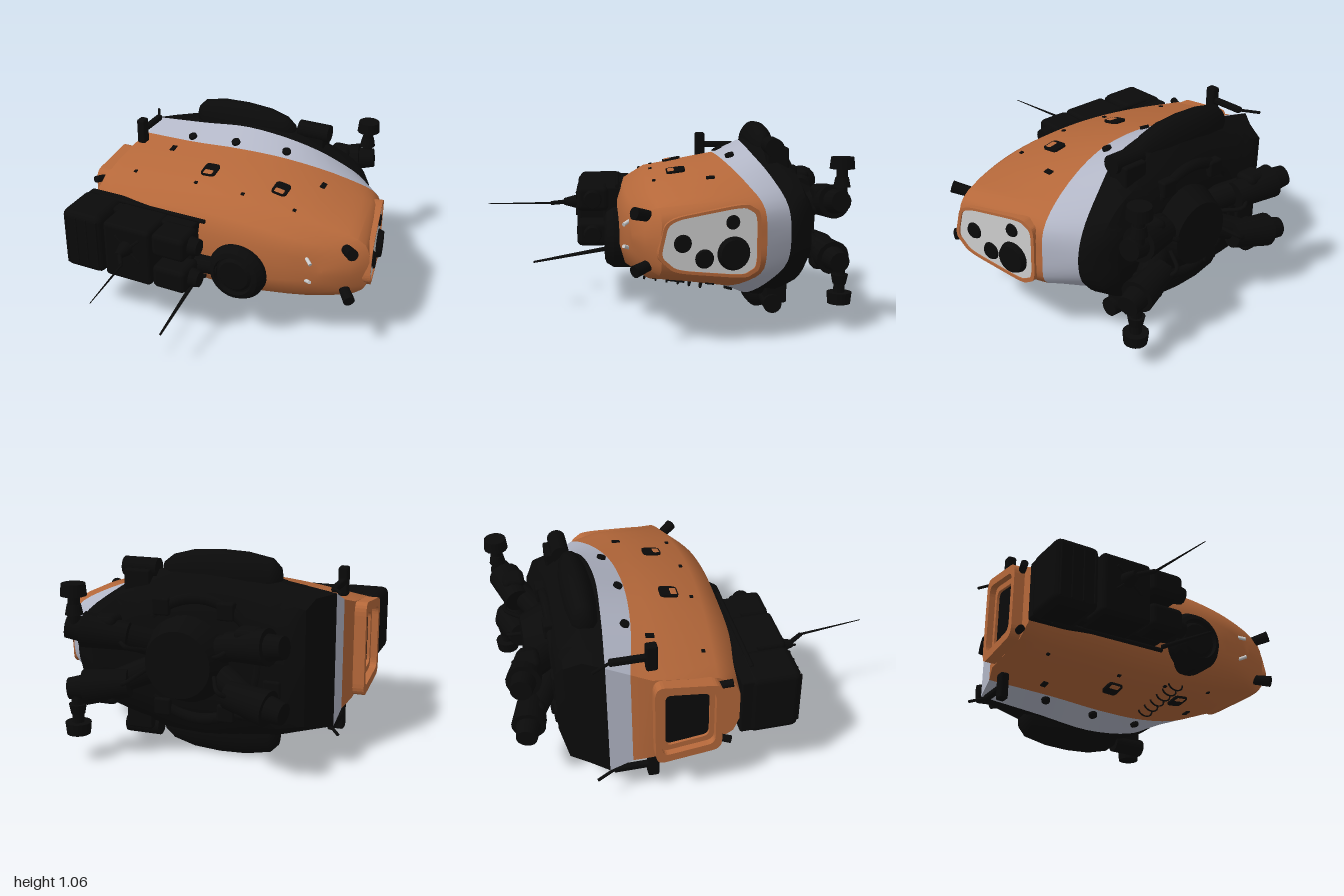
import * as THREE from 'three';
import { toCreasedNormals } from 'three/addons/utils/BufferGeometryUtils.js';
import { RoundedBoxGeometry } from 'three/addons/geometries/RoundedBoxGeometry.js';

const V = (x, y, z) => new THREE.Vector3(x, y, z);
const MID = 0.53; // height of the plane of symmetry
const paint = (color) => new THREE.MeshStandardMaterial({ color, side: THREE.DoubleSide });
const orange = paint(0xb5683a), pale = paint(0xb2b6c6), black = paint(0x0a0a0a), grey = paint(0xcccccc);

// Upper half outline: [x, height above MID, z] from the +x tip to the -x end
const band = [[0.6, 0, -0.65], [0.565, 0.14, -0.64], [0.4, 0.28, -0.57], [0.2, 0.385, -0.49], [-0.1, 0.43, -0.46], [-0.4, 0.39, -0.48], [-0.74, 0.34, -0.52]];
const seam = [[0.71, 0, -0.51], [0.69, 0.15, -0.5], [0.52, 0.255, -0.43], [0.2, 0.345, -0.34], [-0.1, 0.36, -0.31], [-0.4, 0.33, -0.33], [-0.75, 0.285, -0.4]];
const flat = (ring) => ring.map(([x, , z]) => [x, 0, z]);
const hullRings = [
  seam,
  [[0.752, 0, -0.35], [0.735, 0.17, -0.35], [0.55, 0.25, -0.29], [0.2, 0.33, -0.25], [-0.1, 0.345, -0.23], [-0.4, 0.315, -0.25], [-0.78, 0.255, -0.3]],
  [[0.83, 0, 0.02], [0.8, 0.14, 0.02], [0.58, 0.22, 0.06], [0.2, 0.275, 0.09], [-0.1, 0.28, 0.09], [-0.4, 0.26, 0.07], [-0.78, 0.21, 0.03]],
  [[0.75, 0, 0.1], [0.71, 0.11, 0.1], [0.48, 0.165, 0.17], [0.2, 0.205, 0.195], [-0.1, 0.21, 0.195], [-0.4, 0.19, 0.185], [-0.78, 0.155, 0.12]],
  [[0.62, 0, 0.16], [0.58, 0.05, 0.165], [0.42, 0.08, 0.205], [0.2, 0.1, 0.23], [-0.1, 0.1, 0.23], [-0.4, 0.09, 0.22], [-0.78, 0.08, 0.15]],
];
hullRings.push(flat(hullRings[4]));
const backRings = [
  [[0.46, 0, -0.78], [0.44, 0.12, -0.78], [0.3, 0.18, -0.77], [0.15, 0.2, -0.75], [-0.1, 0.21, -0.74], [-0.35, 0.2, -0.74], [-0.55, 0.17, -0.75]],
  [[0.55, 0, -0.73], [0.52, 0.15, -0.74], [0.4, 0.26, -0.72], [0.2, 0.33, -0.7], [-0.1, 0.36, -0.7], [-0.4, 0.34, -0.7], [-0.64, 0.29, -0.71]],
  [[0.59, 0, -0.68], [0.56, 0.15, -0.67], [0.4, 0.29, -0.63], [0.2, 0.4, -0.6], [-0.1, 0.46, -0.6], [-0.4, 0.41, -0.6], [-0.665, 0.33, -0.62]],
  band,
];
backRings.unshift(flat(backRings[0]));

// Skin over rings ordered from back to front; each ring is mirrored below MID
function loft(rings, seg = 48) {
  const pos = [], idx = [], n = seg + 1;
  for (const r of rings) {
    const top = r.map(([x, h, z]) => V(x, MID + h, z));
    const low = r.slice(1).reverse().map(([x, h, z]) => V(x, MID - h, z));
    new THREE.CatmullRomCurve3([...low, ...top]).getPoints(seg).forEach((p) => pos.push(p.x, p.y, p.z));
  }
  for (let i = 0; i < rings.length - 1; i++)
    for (let j = 0; j < n; j++) {
      const a = i * n + j, b = i * n + ((j + 1) % n);
      idx.push(a, b, a + n, b, b + n, a + n);
    }
  const g = new THREE.BufferGeometry();
  g.setAttribute('position', new THREE.Float32BufferAttribute(pos, 3));
  g.setIndex(idx);
  return toCreasedNormals(g, 0.75);
}

// Rounded polygon outline from corner points
function outline(pts, Type = THREE.Shape, k = 0.25) {
  const s = new Type(), n = pts.length;
  const mix = (a, b, t) => [a[0] + (b[0] - a[0]) * t, a[1] + (b[1] - a[1]) * t];
  pts.forEach((p, i) => {
    const a = mix(p, pts[(i + n - 1) % n], k), b = mix(p, pts[(i + 1) % n], k);
    i ? s.lineTo(...a) : s.moveTo(...a);
    s.quadraticCurveTo(...p, ...b);
  });
  s.closePath();
  return s;
}
const plate = (shape, depth) => new THREE.ExtrudeGeometry(shape, { depth, bevelEnabled: false, curveSegments: 6 });

export function createModel() {
  const root = new THREE.Group();
  const add = (name, geo, mat, pos = [0, 0, 0], parent = root) => {
    const m = new THREE.Mesh(geo, mat);
    m.name = name;
    m.position.set(...pos);
    parent.add(m);
    return m;
  };
  const box = (name, size, pos, r = 0.012) =>
    add(name, new RoundedBoxGeometry(...size, 2, Math.min(r, Math.min(...size) / 3)), black, pos);
  // Straight rod or cone between two points
  const rod = (name, a, b, r0, r1 = r0, mat = black, sides = 16) => {
    const p = V(...a), d = V(...b).sub(p);
    const m = add(name, new THREE.CylinderGeometry(r1, r0, d.length(), sides), mat);
    m.position.copy(p).addScaledVector(d, 0.5);
    m.quaternion.setFromUnitVectors(V(0, 1, 0), d.normalize());
    return m;
  };
  const flip = (y, s) => MID + s * (y - MID); // same height above or below the middle

  // Main shells
  const shells = [add('hull', loft(hullRings), orange), add('rearBand', loft([band, seam]), pale)];
  add('rearBody', loft(backRings), black);

  // Drops a small part on the shell above (s = 1) or below (s = -1), y along the normal, x kept level
  const ray = new THREE.Raycaster();
  const stick = (name, geo, mat, x, z, s) => {
    ray.set(V(x, MID + s * 2, z), V(0, -s, 0));
    const hit = ray.intersectObjects(shells)[0];
    if (!hit) return;
    const n = hit.face.normal, side = V(1, 0, 0).addScaledVector(n, -n.x).normalize();
    const m = add(name, geo, mat, hit.point.toArray());
    m.quaternion.setFromRotationMatrix(new THREE.Matrix4().makeBasis(side, n, side.clone().cross(n)));
  };
  const porthole = plate(outline([[-0.043, -0.05], [0.043, -0.05], [0.043, 0.05], [-0.043, 0.05]]), 0.012).rotateX(-Math.PI / 2);
  const hatch = new RoundedBoxGeometry(0.058, 0.03, 0.04, 2, 0.008);
  const tile = new THREE.BoxGeometry(0.028, 0.016, 0.045);
  const bolt = new THREE.BoxGeometry(0.018, 0.014, 0.018);
  const jet = new THREE.CylinderGeometry(0.024, 0.026, 0.03, 16);
  for (const s of [1, -1]) {
    for (const x of [-0.16, 0.27]) {
      stick('porthole', porthole, black, x, -0.08, s);
      stick('portholeCover', hatch, orange, x, -0.055, s);
    }
    for (const x of [-0.49, 0.45]) stick('tile', tile, black, x, -0.25, s);
    for (const [x, z] of [[-0.19, 0.04], [0.1, 0.05], [0.4, 0.04], [-0.6, 0]]) stick('bolt', bolt, black, x, z, s);
    for (const [x, z] of [[-0.42, -0.365], [-0.13, -0.345], [0.17, -0.38]]) stick('bandJet', jet, black, x, z, s);
  }
  for (let i = 0; i < 6; i++)
    stick('ladderRung', new THREE.TorusGeometry(0.045, 0.005, 6, 12, Math.PI).scale(1, 0.8, 1), black, 0.15, 0.08 - i * 0.062, -1);

  // Sensor panel on the +x end
  const end = new THREE.Group();
  end.name = 'sensorPanel';
  end.position.set(0.774, MID, -0.22);
  end.rotation.y = 1.78;
  root.add(end);
  const rim = [[-0.25, -0.06], [-0.21, 0.11], [0.17, 0.17], [0.24, 0.13], [0.24, -0.13], [0.17, -0.17], [-0.17, -0.13]];
  const frame = outline(rim.map(([a, b]) => [a * 1.08, b * 1.1]));
  frame.holes.push(outline(rim, THREE.Path));
  add('panelFrame', plate(frame, 0.05), orange, [0, 0, -0.035], end);
  add('panel', plate(outline(rim), 0.03), grey, [0, 0, -0.022], end);
  for (const [a, b, r, h] of [[-0.14, 0, 0.045, 0.012], [-0.03, -0.08, 0.048, 0.012], [0.12, -0.06, 0.085, 0.03], [0.115, 0.095, 0.036, 0.012]]) {
    const lens = add('lens', new THREE.CylinderGeometry(r * 0.85, r, h, 24), black, [a, b, 0.008 + h / 2], end);
    lens.rotation.x = Math.PI / 2;
  }

  // Recessed bay on the -x end: stepped frames around a dark door
  const bay = new THREE.Group();
  bay.name = 'endBay';
  bay.position.set(-0.77, MID, 0);
  bay.rotation.y = -Math.PI / 2;
  root.add(bay);
  const bayRim = (k) => [[0.045, 0.21], [0.045, -0.21], [-0.3, -0.252], [-0.3, 0.252]].map(([a, b]) => [-0.13 + (a + 0.13) * k, b * k]);
  for (const [k, hole, depth] of [[1, 0.8, 0.07], [0.82, 0.66, 0.035]]) {
    const f = outline(bayRim(k), THREE.Shape, 0.14);
    f.holes.push(outline(bayRim(hole), THREE.Path, 0.14));
    add('bayFrame', plate(f, depth), orange, [0, 0, 0], bay);
  }
  add('bayDoor', plate(outline(bayRim(0.66), THREE.Shape, 0.14), 0.02), black, [0, 0, 0], bay);

  // Equipment pack on the front
  box('packBase', [0.72, 0.33, 0.16], [-0.44, MID, 0.23]);
  box('packLarge', [0.25, 0.36, 0.27], [-0.685, MID, 0.33], 0.04);
  box('packMiddle', [0.29, 0.34, 0.27], [-0.4, MID, 0.33], 0.025);
  for (const s of [1, -1]) {
    box('packSmall', [0.2, 0.14, 0.18], [-0.15, MID + s * 0.1, 0.37], 0.03);
    rod('packNozzle', [-0.06, MID + s * 0.1, 0.37], [0, MID + s * 0.1, 0.37], 0.055, 0.045);
    rod('packPipe', [-0.7, MID + s * 0.175, 0.23], [-0.04, MID + s * 0.175, 0.23], 0.012);
    const brace = box('packBrace', [0.2, 0.015, 0.015], [-0.39, 0.57, 0.468]);
    brace.rotation.z = s * 0.75;
  }
  for (let i = 0; i < 4; i++) box('packRib', [0.012, 0.3, 0.02], [-0.78 + i * 0.064, MID, 0.46]);
  rod('antennaMount', [-0.4, 0.57, 0.46], [-0.4, 0.57, 0.55], 0.045, 0.02);
  rod('antennaStem', [-0.4, 0.57, 0.53], [-0.335, 0.57, 0.62], 0.013, 0.012);
  rod('antenna', [-0.335, 0.57, 0.61], [-0.29, 0.575, 0.985], 0.007, 0.002, black, 8);
  rod('lowerAntenna', [-0.08, 0.34, 0.3], [-0.06, 0.27, 0.71], 0.013, 0.006, black, 8);

  // Round turret beside the pack
  const profile = [[0.165, -0.04], [0.165, 0.06], [0.14, 0.1], [0.115, 0.11], [0.11, 0.085], [0.1, 0.085], [0.085, 0.1], [0, 0.1]];
  const dish = add('turret', toCreasedNormals(new THREE.LatheGeometry(profile.map(([r, h]) => new THREE.Vector2(r, h)), 36), 0.5), black, [0.16, 0.45, 0.19]);
  dish.rotation.x = Math.PI / 2;
  rod('turretLink', [-0.1, 0.45, 0.26], [0.05, 0.45, 0.24], 0.05);

  // Long bulges above and below the rear body, lying along x
  const nacelle = [[0, -0.47], [0.06, -0.47], [0.1, -0.43], [0.125, -0.3], [0.13, -0.16], [0.12, -0.02], [0.09, 0.09], [0.05, 0.14], [0, 0.15]];
  for (const s of [1, -1]) {
    const n = add('nacelle', new THREE.LatheGeometry(nacelle.map(([r, h]) => new THREE.Vector2(r, h)), 28), black, [0, flip(0.93, s), -0.565]);
    n.rotation.z = -Math.PI / 2;
    n.scale.z = 0.65;
    rod('sideThruster', [0.16, flip(0.95, s), -0.6], [0.345, flip(0.95, s), -0.6], 0.05);
    box('thrusterMount', [0.14, 0.14, 0.12], [0.25, flip(0.88, s), -0.62]);

    // Corner thrusters near the -x end
    box('cornerThruster', [0.05, 0.15, 0.06], [-0.718, flip(0.885, s), -0.29]);
    box('cornerArm', [0.035, 0.035, 0.2], [-0.72, flip(0.885, s), -0.4]);
    rod('cornerRod', [-0.72, flip(0.885, s), -0.49], [-0.78, flip(0.885, s), -0.59], 0.008);

    // Lamps and small fittings at both ends
    rod('lamp', [0.71, flip(0.65, s), 0.07], [0.775, flip(0.675, s), 0.15], 0.028, 0.032);
    rod('frontPin', [0.53, flip(0.6, s), 0.17], [0.565, flip(0.585, s), 0.2], 0.01, 0.01, grey);
    rod('endLamp', [-0.79, flip(0.7, s), 0.02], [-0.81, flip(0.72, s), 0.1], 0.02);

    // Rear pods: the +x pair carry tall capped stalks
    for (const d of [1, -1]) {
      const x = d > 0 ? 0 : -0.08;
      rod('podArm', [x + d * 0.15, flip(0.6, s), -0.74], [x + d * 0.36, flip(0.68, s), -0.87], 0.07, 0.06);
      rod('podBody', [x + d * 0.22, flip(0.65, s), -0.85], [x + d * 0.44, flip(0.68, s), -0.9], 0.07, 0.09);
      rod('podTip', [x + d * 0.44, flip(0.68, s), -0.9], [x + d * 0.52, flip(0.69, s), -0.92], 0.065, 0.055);
      box('podHousing', [0.13, 0.15, 0.12], [x + d * 0.33, flip(0.68, s), -0.86], 0.03);
      if (d > 0) {
        rod('podStalk', [0.47, flip(0.7, s), -0.93], [0.47, flip(0.86, s), -0.93], 0.03);
        rod('podCollar', [0.47, flip(0.76, s), -0.93], [0.47, flip(0.81, s), -0.93], 0.045, 0.035);
        rod('podCap', [0.47, flip(0.855, s), -0.93], [0.47, flip(0.915, s), -0.93], 0.066, 0.06);
      }
      const hose = new THREE.CatmullRomCurve3([V(x + d * 0.14, flip(0.58, s), -0.83), V(x + d * 0.2, flip(0.62, s), -0.93), V(x + d * 0.27, flip(0.66, s), -0.88)]);
      add('podHose', new THREE.TubeGeometry(hose, 12, 0.012, 6), black);
    }
  }

  // Hub and ring on the back
  rod('rearHub', [-0.04, MID, -0.7], [-0.04, MID, -0.86], 0.24, 0.17, black, 28);
  add('rearRing', new THREE.TorusGeometry(0.31, 0.03, 10, 40), black, [-0.1, MID, -0.72]);
  for (let i = 0; i < 8; i++) {
    const a = ((i + 0.5) / 8) * Math.PI * 2;
    box('rearBlock', [0.09, 0.09, 0.06], [-0.08 + Math.cos(a) * 0.44, MID + Math.sin(a) * 0.28, -0.73]);
  }
  return root;
}
